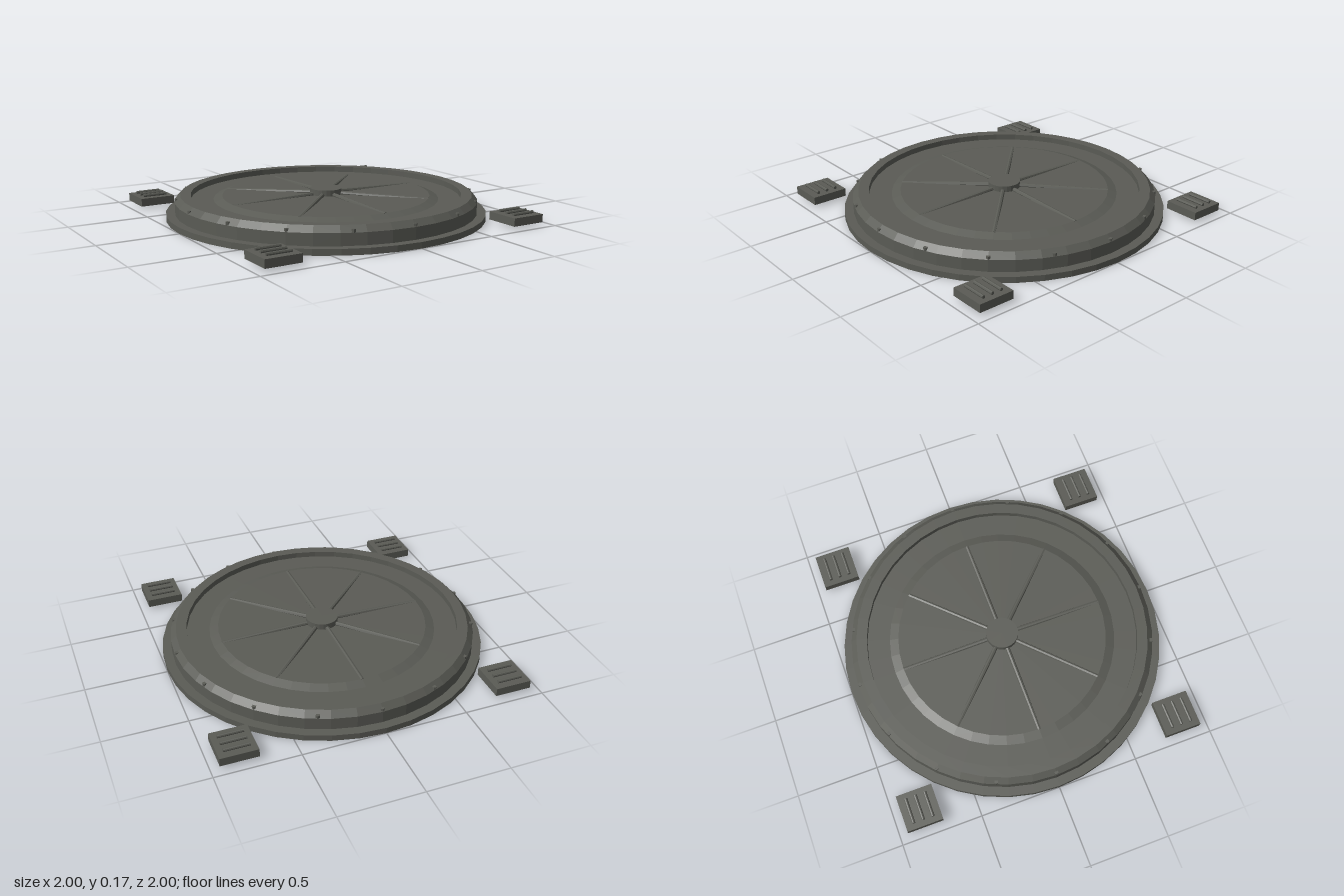
import * as THREE from 'three';

const SIDES = 40;

export function createModel() {
  const model = new THREE.Group();
  model.name = 'roundHatch';
  const metal = new THREE.MeshStandardMaterial({ color: 0x5a5b55, flatShading: true });
  metal.name = 'dark grey metal';

  const add = (name, geometry, parent = model) => {
    const mesh = new THREE.Mesh(geometry, metal);
    mesh.name = name;
    parent.add(mesh);
    return mesh;
  };
  // Upright disc between two heights, optionally tapered
  const disc = (name, rTop, rBottom, y0, y1, sides = SIDES) => {
    const mesh = add(name, new THREE.CylinderGeometry(rTop, rBottom, y1 - y0, sides));
    mesh.position.y = (y0 + y1) / 2;
    return mesh;
  };

  // Stacked body
  disc('basePlate', 1, 1, 0, 0.037);
  disc('body', 0.945, 0.945, 0.037, 0.11);
  disc('centreDish', 0.65, 0.705, 0.11, 0.13);
  disc('hub', 0.1, 0.1, 0.13, 0.167, 24);

  // Raised rim with a bevelled outer edge and an upright inner wall
  const rimProfile = [[0.945, 0.11], [0.91, 0.146], [0.845, 0.146], [0.845, 0.11]];
  add('rim', new THREE.LatheGeometry(rimProfile.map(p => new THREE.Vector2(...p)), SIDES));

  // Eight round spokes that sink into the dish towards the edge
  const inner = new THREE.Vector3(0, 0.137, 0.05);
  const outer = new THREE.Vector3(0, 0.12, 0.65);
  const run = outer.clone().sub(inner);
  for (let i = 0; i < 8; i++) {
    const pivot = new THREE.Group();
    pivot.name = 'spoke';
    pivot.rotation.y = i * Math.PI / 4;
    model.add(pivot);
    const bar = add('spokeBar', new THREE.CylinderGeometry(0.014, 0.014, run.length(), 8), pivot);
    bar.position.copy(inner).add(outer).multiplyScalar(0.5);
    bar.quaternion.setFromUnitVectors(new THREE.Vector3(0, 1, 0), run.clone().normalize());
  }

  // Sixteen small studs around the bevel
  for (let i = 0; i < 16; i++) {
    const a = i * Math.PI / 8;
    const stud = add('rimStud', new THREE.CylinderGeometry(0.013, 0.013, 0.02, 6));
    stud.position.set(Math.sin(a) * 0.932, 0.119, Math.cos(a) * 0.932);
    stud.rotation.y = a;
  }

  // Four corner blocks, each with three grille bars
  for (const x of [-0.835, 0.835]) for (const z of [-0.835, 0.835]) {
    const block = new THREE.Group();
    block.name = 'cornerVent';
    block.position.set(x, 0.042, z);
    model.add(block);
    add('ventBlock', new THREE.BoxGeometry(0.224, 0.05, 0.224), block);
    for (const dz of [-0.06, 0, 0.06]) {
      const bar = add('grilleBar', new THREE.CylinderGeometry(0.01, 0.01, 0.155, 8), block);
      bar.rotation.z = Math.PI / 2;
      bar.position.set(0, 0.034, dz);
    }
  }
  return model;
}
